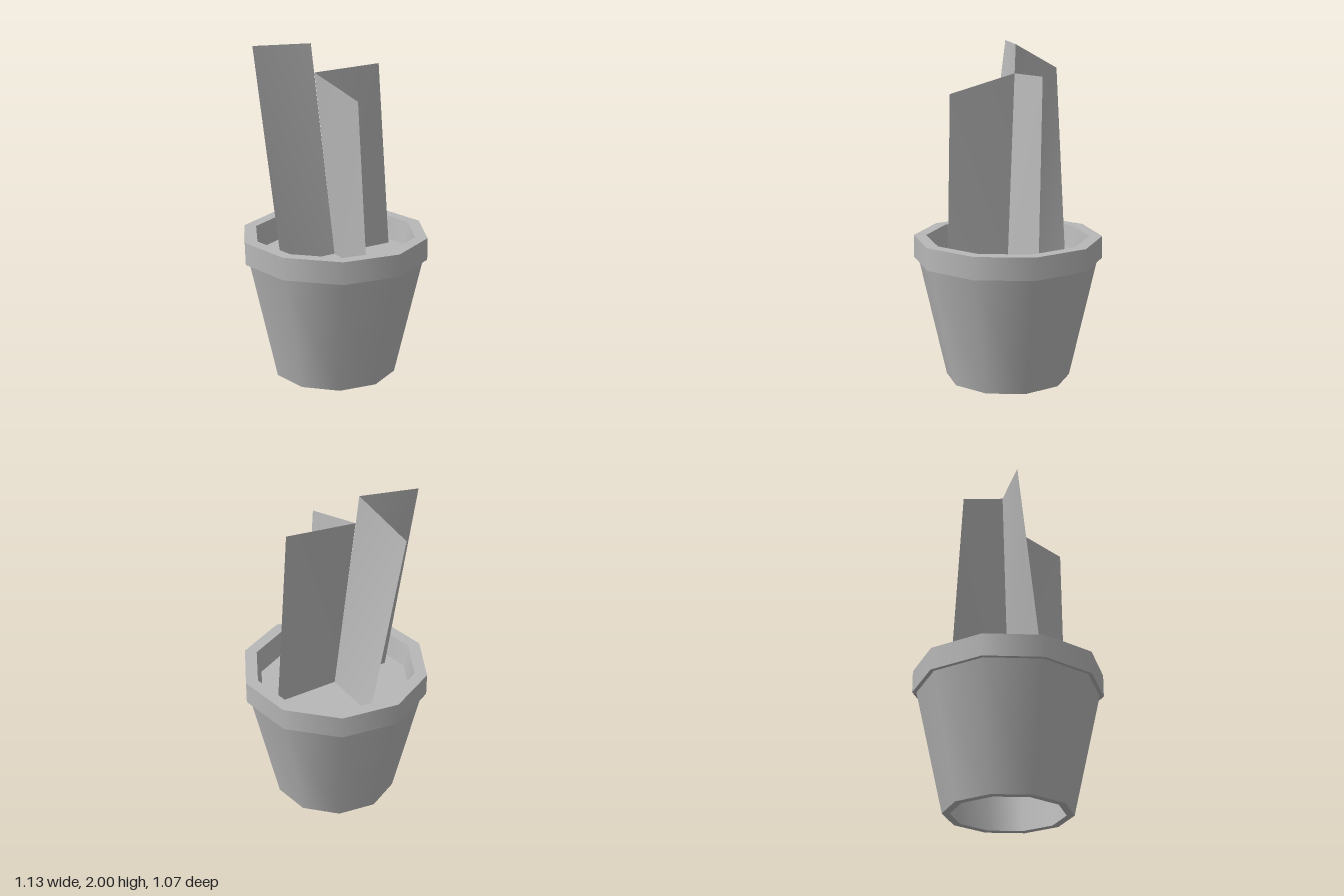
import * as THREE from 'three';

const SIDES = 10;
const SOIL_Y = 0.73;

export function createModel() {
  const model = new THREE.Group();
  const grey = new THREE.MeshStandardMaterial({ color: 0xb8b8b8 });
  grey.name = 'grey';
  const greyThin = new THREE.MeshStandardMaterial({ color: 0xb8b8b8, side: THREE.DoubleSide });
  greyThin.name = 'grey thin';

  const add = (name, geometry, material, parent) => {
    const mesh = new THREE.Mesh(geometry, material);
    mesh.name = name;
    parent.add(mesh);
    return mesh;
  };

  // Pot: one ten-sided band per profile segment, smooth around and sharp between bands
  const pot = new THREE.Group();
  pot.name = 'pot';
  model.add(pot);
  const profile = [
    ['potFoot', 0.33, 0],
    ['potWall', 0.375, 0],
    ['rimUnderside', 0.54, 0.735],
    ['rimBand', 0.565, 0.735],
    ['rimTop', 0.565, 0.87],
    ['potInside', 0.49, 0.87],
  ];
  profile.forEach(([name, r, y], i) => {
    const [, r2, y2] = profile[(i + 1) % profile.length];
    const points = [new THREE.Vector2(r, y), new THREE.Vector2(r2, y2)];
    add(name, new THREE.LatheGeometry(points, SIDES, Math.PI / 2), grey, pot);
  });

  // Soil disc inside the pot
  const soil = add('soil', new THREE.CircleGeometry(0.464, SIDES), greyThin, model);
  soil.rotation.x = -Math.PI / 2;
  soil.position.y = SOIL_Y;

  // Four thin leaves crossing at the stem: inner top, outer top, outer base
  const leaves = [
    ['leafFrontRight', [-0.14, 2, 0], [-0.44, 2, 0.172], [-0.255, SOIL_Y, 0.275]],
    ['leafBackRight', [-0.14, 2, 0], [-0.44, 1.84, -0.16], [-0.28, SOIL_Y, -0.273]],
    ['leafFrontLeft', [-0.12, 1.83, 0], [0.2, 1.73, 0.285], [0.257, SOIL_Y, 0.285]],
    ['leafBackLeft', [-0.12, 1.83, 0], [0.205, 1.85, -0.28], [0.278, SOIL_Y, -0.285]],
  ];
  for (const [name, innerTop, outerTop, outerBase] of leaves) {
    const geometry = new THREE.BufferGeometry();
    const corners = [0, SOIL_Y, 0, ...innerTop, ...outerTop, ...outerBase];
    geometry.setAttribute('position', new THREE.Float32BufferAttribute(corners, 3));
    // Wind the leaf so that its face looks to the front
    geometry.setIndex(outerTop[0] < 0 ? [0, 1, 2, 0, 2, 3] : [0, 2, 1, 0, 3, 2]);
    geometry.computeVertexNormals();
    add(name, geometry, greyThin, model);
  }

  return model;
}
